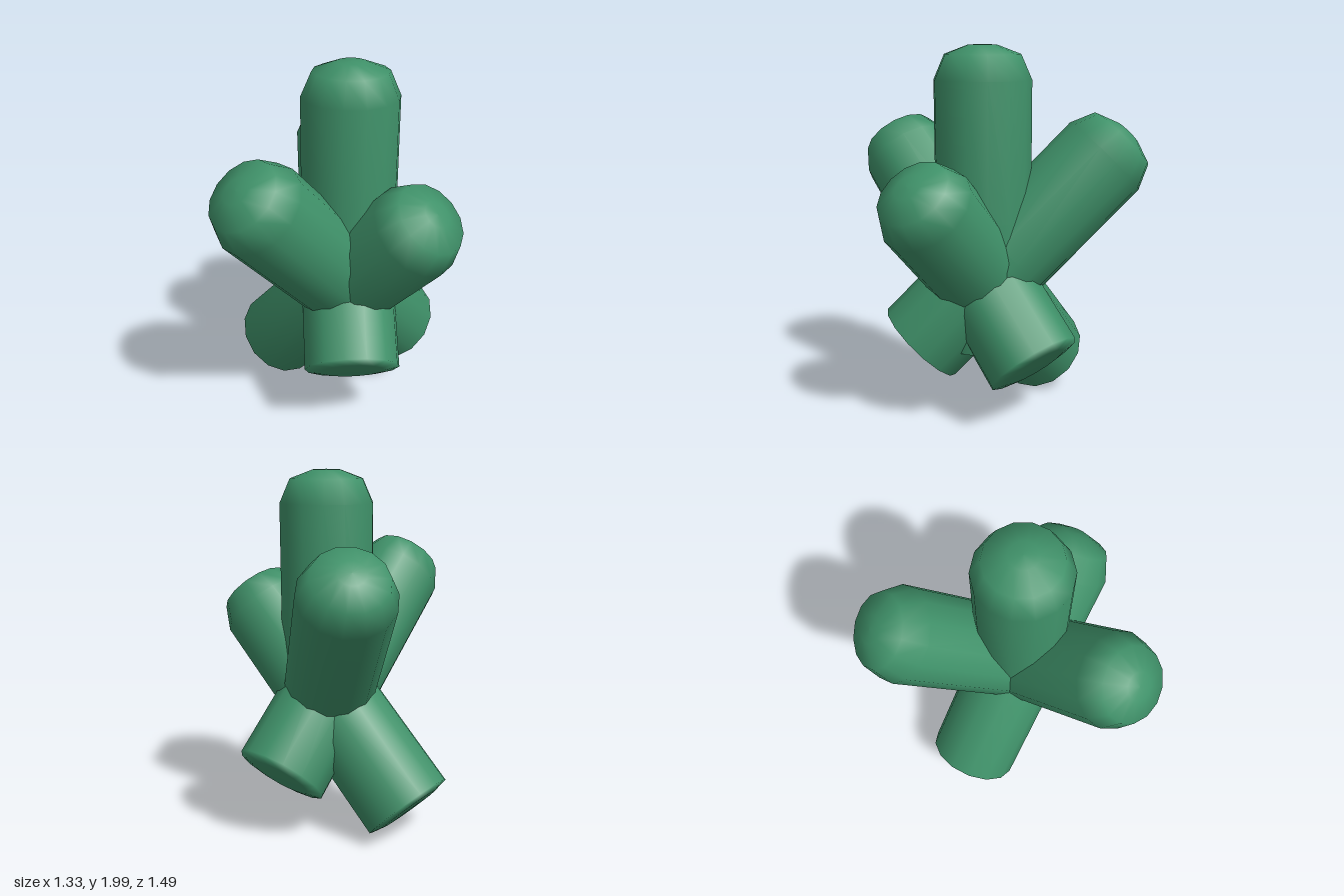
import * as THREE from 'three';

export function createModel() {
  const group = new THREE.Group();
  const material = new THREE.MeshStandardMaterial({ color: 0x3f9169 });

  // One rod, reused for all arms: nearly flat foot, straight shaft, domed tip.
  // Its origin is the foot, its axis is +y.
  const length = 1.6, radius = 0.257;
  const profile = [
    [0, -0.015], [0.17, -0.012], [radius, 0.005],
    [radius, 0.7], [radius, length - 0.18],
    [0.2, length - 0.05], [0.075, length - 0.003], [0, length],
  ].map(([r, y]) => new THREE.Vector2(r, y));
  const rod = new THREE.LatheGeometry(profile, 14);

  // All rods cross at one hub; each has a direction and a reach from hub to tip.
  const hub = new THREE.Vector3(0.125, 0.75, 0.125);
  const up = new THREE.Vector3(0, 1, 0);
  const rods = [
    ['uprightRod', [0, 1, 0], 1.25],
    ['rightFrontRod', [-0.633, 0.715, 0.296], 1.055],
    ['backRod', [0.161, 0.711, -0.683], 1.11],
    ['leftFrontRod', [0.362, 0.717, 0.596], 0.817],
  ];

  for (const [name, dir, reach] of rods) {
    const axis = new THREE.Vector3(...dir).normalize();
    const mesh = new THREE.Mesh(rod, material);
    mesh.name = name;
    mesh.quaternion.setFromUnitVectors(up, axis);
    mesh.position.copy(hub).addScaledVector(axis, reach - length);
    group.add(mesh);
  }
  return group;
}
